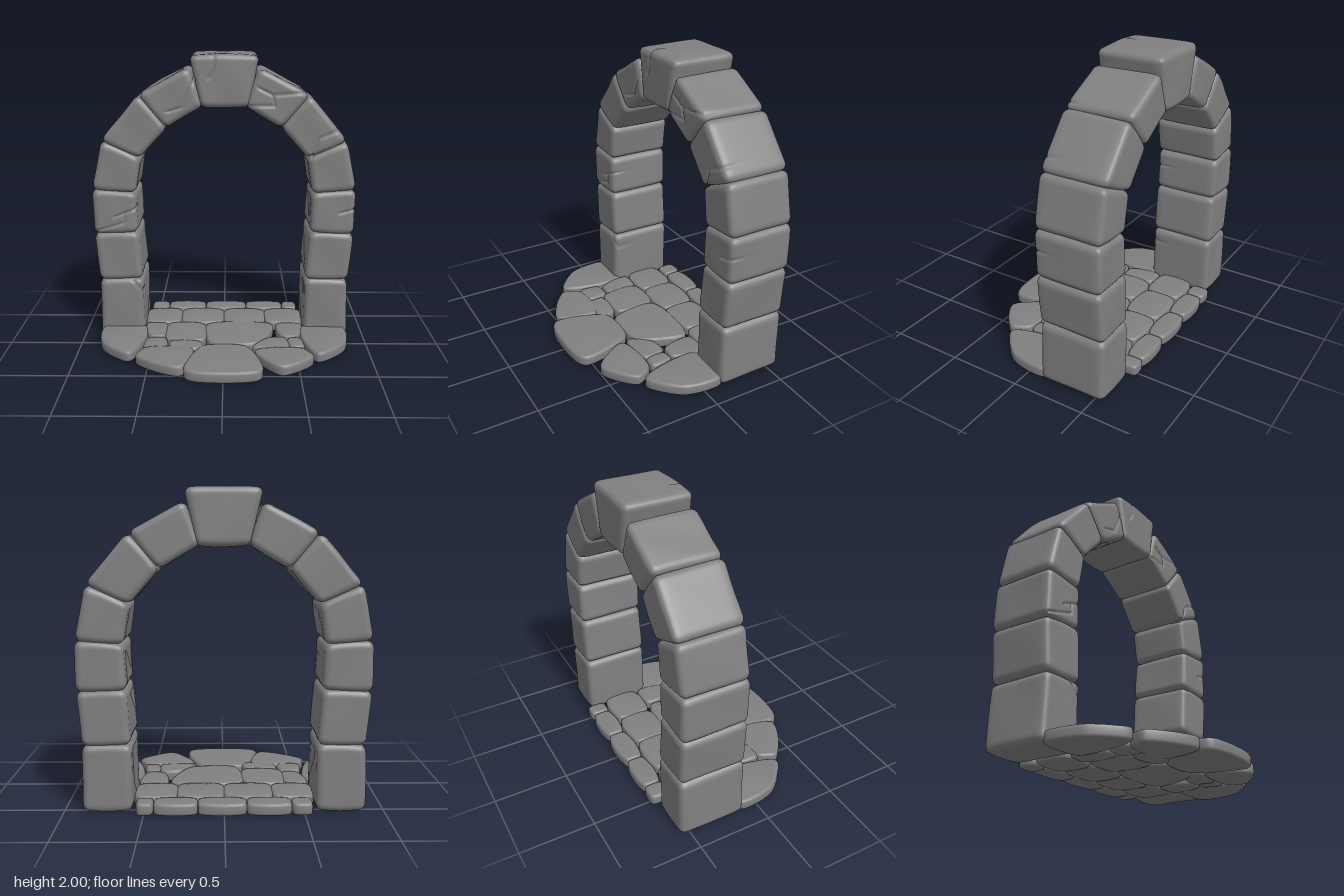
import * as THREE from 'three';
import { mergeVertices, toCreasedNormals } from 'three/addons/utils/BufferGeometryUtils.js';

const material = new THREE.MeshStandardMaterial({ color: 0x808080 });
const Z_MID = -0.342, HALF_DEPTH = 0.23, ROUND = 0.045;

// Joints up one side of the arch: outer x, outer y, inner x, inner y
const joints = [
  [0.885, 0.012, 0.565, 0.012],
  [0.878, 0.43, 0.568, 0.437],
  [0.909, 0.767, 0.592, 0.78],
  [0.911, 1.083, 0.605, 1.06],
  [0.84, 1.425, 0.568, 1.302],
  [0.578, 1.738, 0.387, 1.508],
  [0.237, 1.918, 0.142, 1.655],
];

// Cracks as polylines in the front plane: x, y, x, y ...
const cracks = [
  [-0.07, 2.02, -0.07, 1.9, -0.1, 1.84],
  [-0.2, 1.83, -0.28, 1.65, -0.38, 1.62],
  [0.23, 1.78, 0.33, 1.73, 0.56, 1.75],
  [0.33, 1.73, 0.34, 1.66, 0.18, 1.66],
  [0.81, 1.51, 0.64, 1.44, 0.6, 1.31],
  [-0.6, 0.95, -0.76, 0.89],
  [-0.69, 0.92, -0.69, 0.85, -0.88, 0.79],
  [0.92, 0.95, 0.8, 0.92],
  [-0.65, 0.43, -0.56, 0.33],
];

// Corners of the front paving stones, going round: x, z, x, z ...
const sideFlag = [0.54, -0.14, 0.86, -0.14, 0.835, 0.14, 0.62, 0.325];
const frontFlags = [
  sideFlag,
  sideFlag.map((v, i) => (i % 2 ? v : -v)),
  [-0.53, 0.215, -0.2, 0.22, -0.27, 0.53, -0.585, 0.35],
  [-0.15, 0.185, 0.16, 0.185, 0.258, 0.575, -0.255, 0.575],
  [0.2, 0.25, 0.53, 0.215, 0.605, 0.345, 0.375, 0.515],
  [-0.53, 0.07, -0.4, 0.06, -0.385, 0.215, -0.54, 0.22],
  [-0.37, 0.11, -0.16, 0.115, -0.13, 0.235, -0.36, 0.235],
  [-0.56, -0.19, -0.41, -0.19, -0.405, 0.04, -0.515, 0.04],
  [-0.4, -0.19, -0.14, -0.19, -0.13, 0.1, -0.395, 0.09],
  [-0.125, -0.19, 0.36, -0.19, 0.24, 0.15, -0.09, 0.165],
  [0.19, 0.215, 0.3, 0.06, 0.43, 0.05, 0.445, 0.21],
  [0.445, 0.065, 0.53, 0.05, 0.55, 0.2, 0.455, 0.205],
  [0.375, -0.19, 0.56, -0.19, 0.525, 0.04, 0.4, 0.03],
];

// A straight row of paving stones between the given x edges
function flagRow(edges, zBack, zFront) {
  return edges.slice(1).map((end, i) => {
    const a = edges[i] + 0.008, b = end - 0.008;
    return [a, zBack, b, zBack, b, zFront, a, zFront];
  });
}

// Pairs up a flat list of numbers as points
const toPoints = list => Array.from({ length: list.length / 2 },
  (_, i) => new THREE.Vector2(list[2 * i], list[2 * i + 1]));

function crackDepth(at) {
  let nearest = Infinity;
  for (const points of cracks.map(toPoints)) for (let i = 1; i < points.length; i++) {
    const along = points[i].clone().sub(points[i - 1]);
    const offset = at.clone().sub(points[i - 1]);
    const t = THREE.MathUtils.clamp(offset.dot(along) / along.lengthSq(), 0, 1);
    nearest = Math.min(nearest, offset.addScaledVector(along, -t).length());
  }
  return 0.011 * Math.max(0, 1 - nearest / 0.012);
}

// A rounded block fitted to four corners, with cracks pressed into its front
function archStone([tl, tr, br, bl], name) {
  const half = new THREE.Vector3(
    (tl.distanceTo(tr) + bl.distanceTo(br)) / 4,
    (tl.distanceTo(bl) + tr.distanceTo(br)) / 4, HALF_DEPTH);
  const limit = half.clone().subScalar(ROUND), low = limit.clone().negate();
  const place = p => {
    const u = (p.x / half.x + 1) / 2, v = (p.y / half.y + 1) / 2;
    return bl.clone().lerp(br, u).lerp(tl.clone().lerp(tr, u), v);
  };
  let geo = new THREE.BoxGeometry(2, 2, 2, 34, 34, 12);
  const pos = geo.attributes.position, p = new THREE.Vector3();
  for (let i = 0; i < pos.count; i++) {
    p.fromBufferAttribute(pos, i);
    p.z = Math.sin(p.z * Math.PI / 2);
    p.multiply(half);
    const core = p.clone().clamp(low, limit);
    const normal = p.clone().sub(core).normalize();
    p.copy(core).addScaledVector(normal, ROUND);
    // joint faces swell towards the neighbouring stones
    p.y += 0.009 * (p.y / half.y) * (1 - (p.x / half.x) ** 2);
    const at = place(p);
    // gentle unevenness of the worn faces
    const wear = 0.002 * (1 + Math.sin(at.x * 17 + at.y * 11 + p.z * 9));
    const crack = crackDepth(at) * THREE.MathUtils.smoothstep(p.z, 0.08, 0.2);
    p.addScaledVector(normal, -crack - wear);
    const q = place(p);
    pos.setXYZ(i, q.x, q.y, p.z + Z_MID);
  }
  geo.deleteAttribute('uv');
  geo.deleteAttribute('normal');
  geo = mergeVertices(geo, 1e-5);
  geo.computeVertexNormals();
  const mesh = new THREE.Mesh(geo, material);
  mesh.name = name;
  return mesh;
}

// A flat stone with bulging sides, soft corners and rounded rims
function pavingStone(corners, name) {
  const centre = corners.reduce((sum, c) => sum.add(c), new THREE.Vector2()).divideScalar(4);
  const outline = corners.flatMap((a, i) => {
    const b = corners[(i + 1) % 4], edge = b.clone().sub(a);
    const out = new THREE.Vector2(edge.y, -edge.x);
    if (out.dot(a.clone().sub(centre)) < 0) out.negate();
    return [[0.09, 0.015], [0.5, 0.065], [0.91, 0.015]].map(([t, bulge]) => {
      const p = a.clone().addScaledVector(edge, t).addScaledVector(out, bulge);
      return new THREE.Vector3(p.x, p.y, 0);
    });
  });
  const curve = new THREE.CatmullRomCurve3(outline, true, 'centripetal');
  const points = curve.getPoints(48).slice(0, -1);
  const shape = new THREE.Shape(points.map(v => new THREE.Vector2(v.x, v.y)));
  const bevel = 0.02, top = 0.078;
  const geo = new THREE.ExtrudeGeometry(shape, {
    depth: top - 2 * bevel, bevelThickness: bevel,
    bevelSize: bevel, bevelOffset: -bevel, bevelSegments: 4,
  });
  geo.rotateX(Math.PI / 2).translate(0, top - bevel, 0);
  const mesh = new THREE.Mesh(toCreasedNormals(geo, 0.7), material);
  mesh.name = name;
  return mesh;
}

export function createModel() {
  const model = new THREE.Group();
  model.name = 'stoneArchway';

  // Pillars and arch, one stone between each pair of joints on both sides
  const arch = new THREE.Group();
  arch.name = 'arch';
  for (let i = 1; i < joints.length; i++) {
    const [outerLow, innerLow] = toPoints(joints[i - 1]);
    const [outerTop, innerTop] = toPoints(joints[i]);
    const corners = [innerTop, outerTop, outerLow, innerLow];
    const mirrored = [outerTop, innerTop, innerLow, outerLow]
      .map(c => new THREE.Vector2(-c.x, c.y));
    const part = i < 4 ? 'PillarStone' : 'ArchStone';
    arch.add(archStone(corners, `left${part}${i}`), archStone(mirrored, `right${part}${i}`));
  }
  arch.add(archStone(toPoints([-0.237, 1.995, 0.242, 1.995, 0.172, 1.65, -0.157, 1.65]), 'keystone'));

  // Paving: the rounded front, a row beneath the arch and a narrow back row
  const floor = new THREE.Group();
  floor.name = 'paving';
  const flags = [
    ...frontFlags,
    ...flagRow([-0.57, -0.31, 0, 0.3, 0.57], -0.455, -0.215),
    ...flagRow([-0.55, -0.42, -0.14, 0.165, 0.44, 0.55], -0.605, -0.485),
  ];
  flags.forEach((flag, i) => floor.add(pavingStone(toPoints(flag), `pavingStone${i + 1}`)));

  model.add(arch, floor);
  return model;
}
